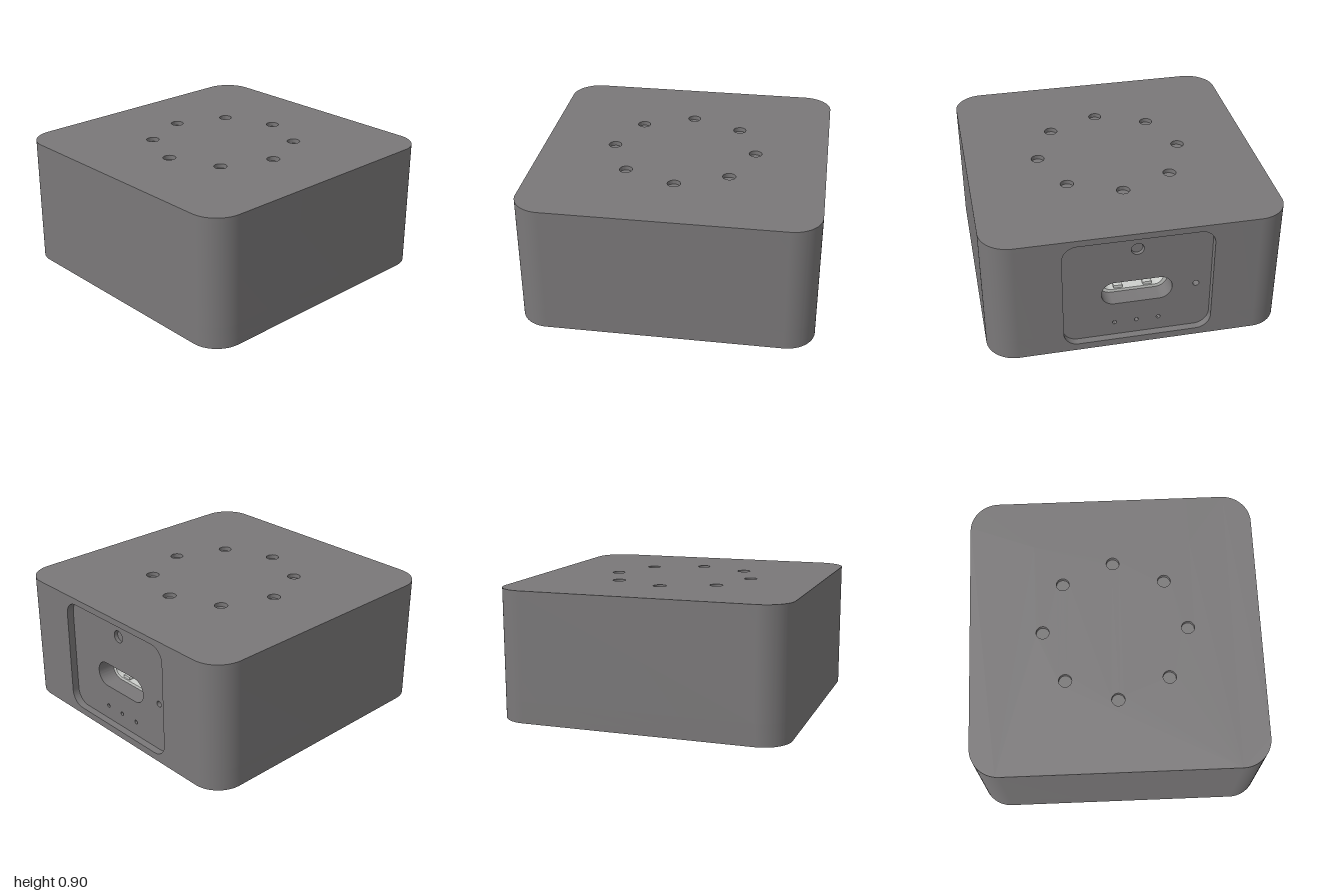
import * as THREE from 'three';
import { toCreasedNormals } from 'three/addons/utils/BufferGeometryUtils.js';

export function createModel() {
  const model = new THREE.Group();
  model.name = 'portedBox';

  const mat = (name, color) => {
    const m = new THREE.MeshStandardMaterial({ color });
    m.name = name;
    return m;
  };
  const grey = mat('casing grey', 0x7a7879);
  const silver = mat('silver metal', 0xcdcfcc);
  const dull = mat('contact grey', 0x9c9e9b);

  // Rounded rectangle given by centre, half sizes and corner radius
  function roundRect(cx, cy, hw, hh, r, T = THREE.Shape) {
    const s = new T(), P = Math.PI / 2;
    s.moveTo(cx + hw, cy - hh + r);
    s.absarc(cx + hw - r, cy + hh - r, r, 0, P, false);
    s.absarc(cx - hw + r, cy + hh - r, r, P, 2 * P, false);
    s.absarc(cx - hw + r, cy - hh + r, r, 2 * P, 3 * P, false);
    s.absarc(cx + hw - r, cy - hh + r, r, 3 * P, 4 * P, false);
    return s;
  }
  const circle = (x, y, r, T = THREE.Path) => new T().absarc(x, y, r, 0, Math.PI * 2, false);

  function add(name, shape, holes, from, to, alongX, material, parent = model) {
    shape.holes.push(...holes);
    let g = new THREE.ExtrudeGeometry(shape, { depth: to - from, bevelEnabled: false, curveSegments: 16 });
    g.translate(0, 0, from);
    if (alongX) g.rotateY(Math.PI / 2); else g.rotateX(-Math.PI / 2);
    g = toCreasedNormals(g, 0.6);
    const mesh = new THREE.Mesh(g, material);
    mesh.name = name;
    parent.add(mesh);
    return mesh;
  }
  // Upright extrusion (plan shape) and sideways extrusion (side shape, u = -z)
  const up = (name, shape, holes, y0, y1, m = grey) => add(name, shape, holes, y0, y1, false, m);
  const side = (name, shape, holes, x0, x1, m = grey) => add(name, shape, holes, x0, x1, true, m);

  // Casing plan, notched on the port side
  const NX = 0.65, NZ = 0.55;
  function casingPlan() {
    const s = new THREE.Shape(), P = Math.PI / 2;
    s.moveTo(NX, -NZ);
    s.lineTo(NX, NZ);
    s.lineTo(1, NZ);
    s.absarc(0.8, 0.8, 0.2, 0, P, false);
    s.absarc(-0.8, 0.8, 0.2, P, 2 * P, false);
    s.absarc(-0.8, -0.8, 0.2, 2 * P, 3 * P, false);
    s.absarc(0.8, -0.8, 0.2, 3 * P, 4 * P, false);
    s.lineTo(1, -NZ);
    s.closePath();
    return s;
  }
  const ringHoles = r => Array.from({ length: 8 }, (_, i) =>
    circle(0.5 * Math.cos(i * Math.PI / 4), 0.5 * Math.sin(i * Math.PI / 4), r));
  const corners = [[1, 1], [1, -1], [-1, -1], [-1, 1]].map(([a, b]) => [a * 0.7, b * 0.7]);
  const screwHoles = () => corners.map(([x, y]) => circle(x, y, 0.1));

  const RIM = 0.045;
  up('bottomRim', roundRect(0, 0, 1, 1, 0.2), [roundRect(0, 0, 0.9, 0.9, 0.18, THREE.Path)], 0, RIM);
  up('lowerCasing', casingPlan(), [...ringHoles(0.035), ...screwHoles()], RIM, 0.15);
  up('middleCasing', casingPlan(), [], 0.15, 0.87);
  up('topCasing', casingPlan(), ringHoles(0.045), 0.87, 0.9);

  // Underside cover with a central rounded square and round pad
  up('bottomPlate', roundRect(0, 0, 0.893, 0.893, 0.173),
    [...ringHoles(0.035), ...screwHoles(), roundRect(0, 0, 0.25, 0.25, 0.07, THREE.Path)], 0.01, RIM);
  up('centreSquare', roundRect(0, 0, 0.246, 0.246, 0.066), [circle(0, 0, 0.2)], 0.014, RIM);
  up('centreDisc', circle(0, 0, 0.197, THREE.Shape), [circle(0.09, 0, 0.05)], 0.016, RIM);
  up('centreDot', circle(0.09, 0, 0.047, THREE.Shape), [], 0.02, RIM);

  // Corner screws with hexagonal sockets
  for (const [x, y] of corners) {
    const hex = new THREE.Path();
    for (let i = 0; i < 6; i++) {
      const a = i * Math.PI / 3;
      hex[i ? 'lineTo' : 'moveTo'](x + 0.045 * Math.cos(a), y + 0.045 * Math.sin(a));
    }
    hex.closePath();
    up('screwHead', circle(x, y, 0.08, THREE.Shape), [hex], 0.025, 0.1, silver);
    up('screwSocketFloor', circle(x, y, 0.08, THREE.Shape), [], 0.1, 0.14, silver);
  }

  // Port side: outer frame, recessed panel and backing
  const strip = () => {
    const s = new THREE.Shape();
    s.moveTo(-NZ, RIM);
    s.lineTo(NZ, RIM);
    s.lineTo(NZ, 0.9);
    s.lineTo(-NZ, 0.9);
    s.closePath();
    return s;
  };
  const PY = 0.402;
  const stadium = (hw, hh, T) => roundRect(0, PY, hw, hh, hh - 0.001, T);
  side('panelFrame', strip(), [roundRect(0, 0.453, 0.5, 0.402, 0.1, THREE.Path)], 0.95, 1);
  side('portPanel', strip(), [
    stadium(0.238, 0.088, THREE.Path),
    circle(0, 0.743, 0.043), circle(0.4, PY, 0.021),
    ...[-0.15, 0, 0.15].map(u => circle(u, 0.154, 0.014)),
  ], 0.8, 0.95);
  side('panelBacking', strip(), [stadium(0.238, 0.088, THREE.Path)], NX, 0.8);
  side('button', circle(0, 0.74, 0.039, THREE.Shape), [], 0.8, 0.925);

  // Connector: metal shell, inner floor, tongue, contacts and springs
  side('connectorShell', stadium(0.236, 0.086), [stadium(0.208, 0.064, THREE.Path)], NX, 0.83, silver);
  side('connectorFloor', stadium(0.21, 0.066), [], NX, 0.7, silver);
  side('connectorTongue', roundRect(0, PY, 0.165, 0.022, 0.006), [], 0.69, 0.81, dull);
  side('contactStrip', roundRect(0, PY, 0.15, 0.008, 0.002), [], 0.8, 0.815, grey);
  for (const u of [-0.1, 0.1]) for (const s of [-1, 1])
    side('springTab', roundRect(u, PY + s * 0.054, 0.03, 0.011, 0.004), [], 0.69, 0.82, silver);

  return model;
}
